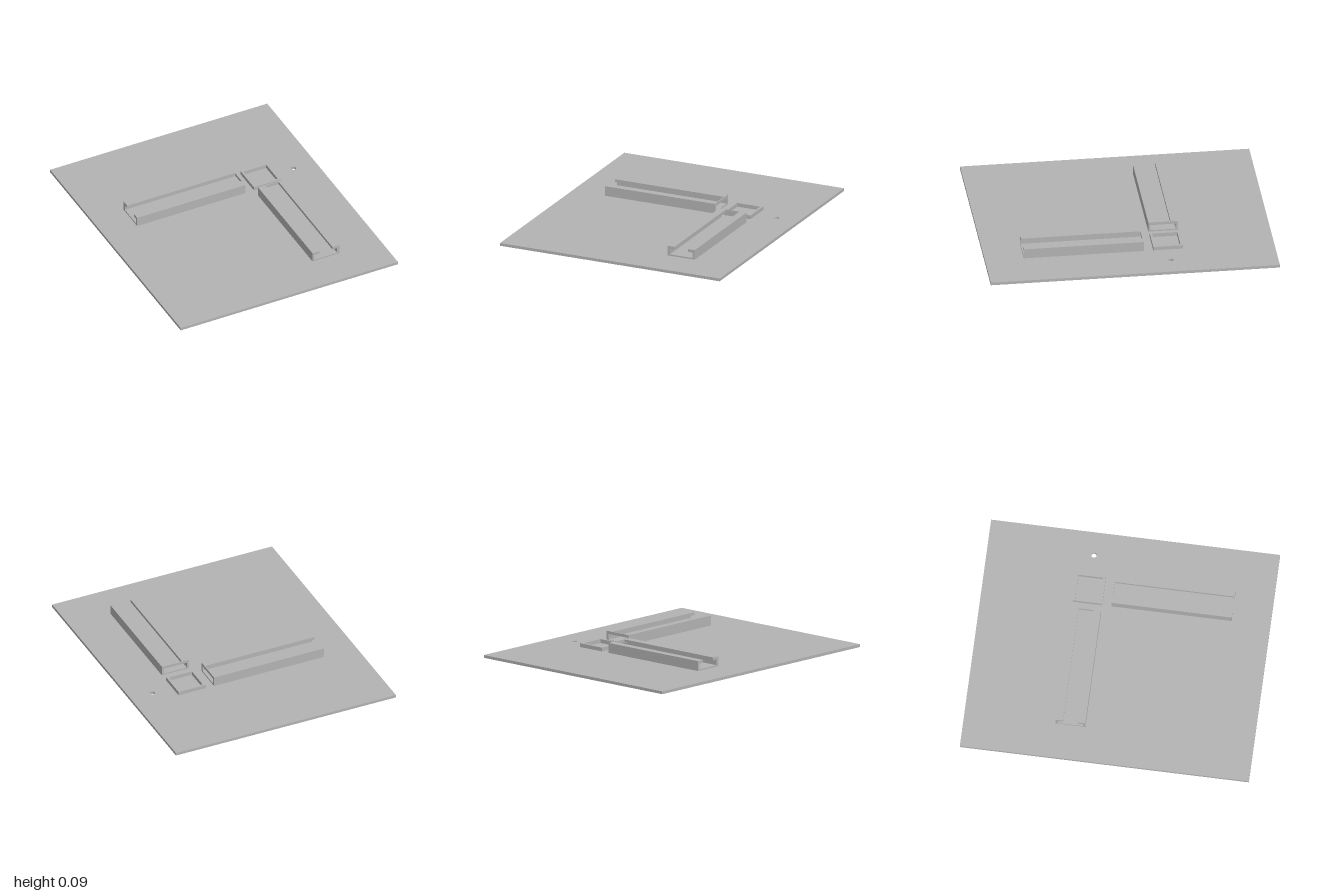
import * as THREE from 'three';

const PLATE = 0.02;   // plate thickness
const W = 0.206;      // outer width of rails and frame
const WALL = 0.0165;  // wall thickness

export function createModel() {
  const group = new THREE.Group();
  const grey = new THREE.MeshStandardMaterial({ color: 0xb3b3b3 });
  grey.name = 'grey';

  const add = (parent, name, geometry) => {
    const mesh = new THREE.Mesh(geometry, grey);
    mesh.name = name;
    parent.add(mesh);
    return mesh;
  };
  const rect = (Type, w, h) => new Type([
    [-w / 2, -h / 2], [w / 2, -h / 2], [w / 2, h / 2], [-w / 2, h / 2],
  ].map(p => new THREE.Vector2(...p)));
  // extrudes a plan outline (x, -z) upwards
  const slab = (shape, height) => new THREE.ExtrudeGeometry(shape,
    { depth: height, bevelEnabled: false, curveSegments: 24 }).rotateX(-Math.PI / 2);

  // Base plate with a small round hole
  const plate = rect(THREE.Shape, 1.667, 2);
  plate.holes.push(new THREE.Path().absarc(0.667, 0.267, 0.018, 0, Math.PI * 2, true));
  add(group, 'basePlate', slab(plate, PLATE));

  // Low square corner frame
  const frame = rect(THREE.Shape, W, W);
  frame.holes.push(rect(THREE.Path, W - 2 * WALL, W - 2 * WALL));
  add(group, 'cornerFrame', slab(frame, 0.027)).position.set(0.415, PLATE, -0.267);

  // Slotted channel rails, each with a thin bridge across the slot at its inner end
  const length = 0.833, height = 0.07, floor = 0.01, lip = 0.05, slot = 0.051;
  const half = W / 2, inner = half - WALL;
  const right = [[half, 0], [half, height], [slot, height], [slot, lip], [inner, lip], [inner, floor]];
  const left = right.map(([x, y]) => [-x, y]).reverse();
  const profile = new THREE.Shape([...right, ...left].map(p => new THREE.Vector2(...p)));

  const addRail = (name, x, z, turn) => {
    const rail = new THREE.Group();
    rail.name = name;
    add(rail, name + 'Channel', new THREE.ExtrudeGeometry(profile, { depth: length, bevelEnabled: false }));
    add(rail, name + 'Bridge', new THREE.BoxGeometry(slot * 2, height - lip, 0.006))
      .position.set(0, (height + lip) / 2, 0.003);
    rail.position.set(x, PLATE, z);
    rail.rotation.y = turn;
    group.add(rail);
  };
  addRail('frontRail', 0.415, -0.101, 0);
  addRail('sideRail', 0.249, -0.267, -Math.PI / 2);

  return group;
}
